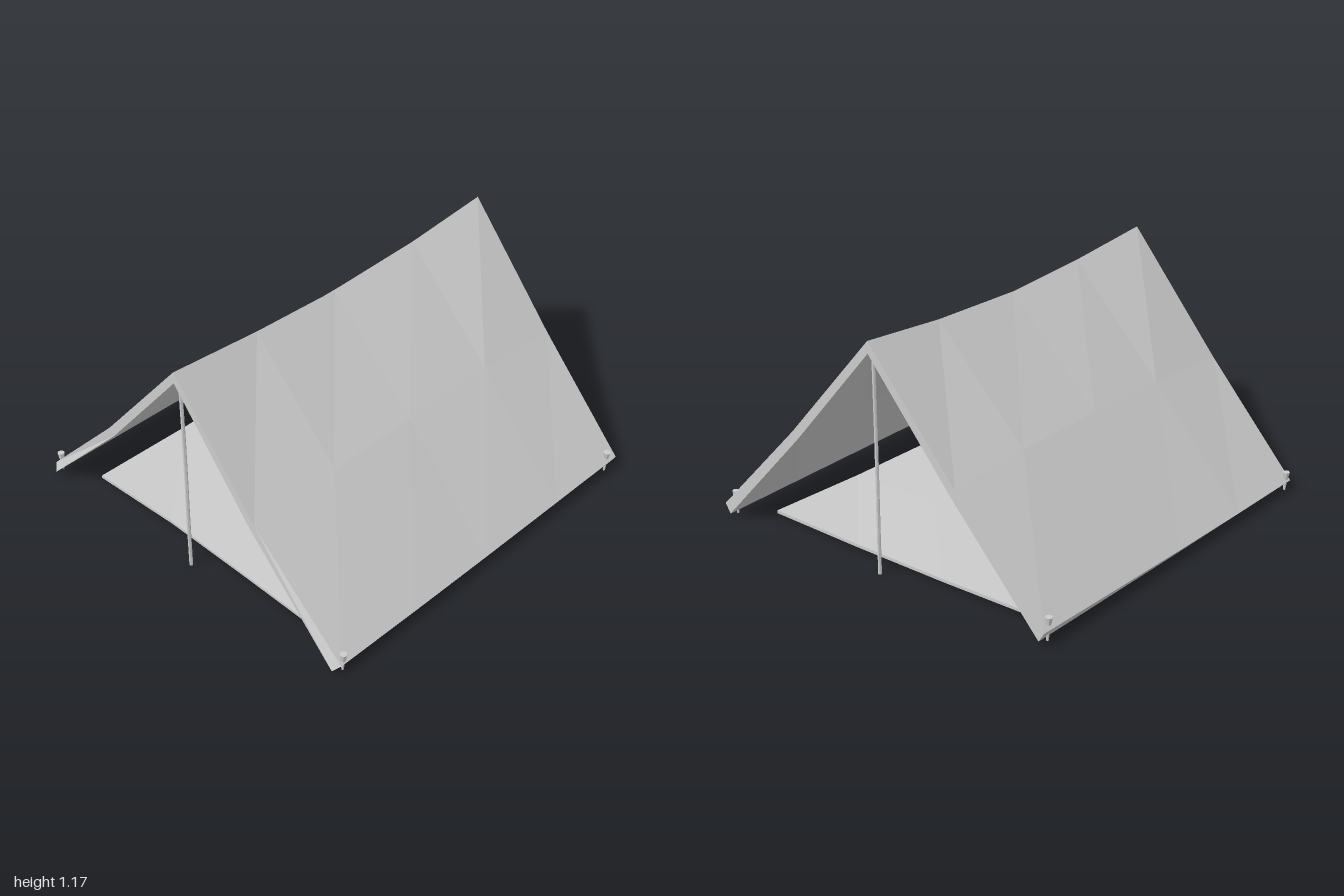
import * as THREE from 'three';

const material = new THREE.MeshStandardMaterial({ color: 0xcccccc, flatShading: true, side: THREE.DoubleSide });

function addMesh(parent, name, geometry) {
  const mesh = new THREE.Mesh(geometry, material);
  mesh.name = name;
  parent.add(mesh);
  return mesh;
}

// Closed thick sheet over an nu x nv grid; upper and lower return [x, y, z]
function slab(nu, nv, upper, lower) {
  const pos = [];
  const quad = (a, b, c, d) => pos.push(...a, ...b, ...c, ...a, ...c, ...d);
  for (let u = 0; u < nu; u++) {
    for (let v = 0; v < nv; v++) {
      quad(upper(u, v), upper(u, v + 1), upper(u + 1, v + 1), upper(u + 1, v));
      quad(lower(u, v), lower(u + 1, v), lower(u + 1, v + 1), lower(u, v + 1));
    }
  }
  for (let v = 0; v < nv; v++) {
    quad(upper(0, v), lower(0, v), lower(0, v + 1), upper(0, v + 1));
    quad(upper(nu, v), upper(nu, v + 1), lower(nu, v + 1), lower(nu, v));
  }
  for (let u = 0; u < nu; u++) {
    quad(upper(u, nv), lower(u, nv), lower(u + 1, nv), upper(u + 1, nv));
    quad(upper(u, 0), upper(u + 1, 0), lower(u + 1, 0), lower(u, 0));
  }
  const geometry = new THREE.BufferGeometry();
  geometry.setAttribute('position', new THREE.Float32BufferAttribute(pos, 3));
  geometry.computeVertexNormals();
  return geometry;
}

// Canopy: sagging ridge, sides slightly bulged between the ends
function canopyGeometry() {
  const z = [-1, -0.53, 0, 0.5, 1];
  const ridge = [1.17, 1.128, 1.108, 1.13, 1.17];
  const middle = [0.6, 0.625, 0.62, 0.61, 0.583];
  const hemX = [0.98, 0.985, 0.99, 0.993, 0.995];
  const hemY = [0.077, 0.07, 0.063, 0.058, 0.057];
  const upper = (u, v) => {
    const s = Math.sign(u - 2);
    if (s === 0) return [0, ridge[v], z[v]];
    if (u === 1 || u === 3) return [s * 0.49, middle[v], z[v]];
    return [s * hemX[v], hemY[v], v === 4 ? 0.97 : z[v]];
  };
  const lower = (u, v) => {
    const s = Math.sign(u - 2);
    const [x, y] = upper(u, v);
    if (s === 0) return [0, y - 0.06, z[v]];
    if (u === 1 || u === 3) return [x - s * 0.03, y - 0.033, z[v]];
    return [x - s * 0.03, 0.028, z[v]];
  };
  return slab(4, 4, upper, lower);
}

// Ground sheet: thin, gently rumpled
function groundGeometry() {
  const x = [-0.785, -0.28, 0.25, 0.78];
  const z = [-0.85, -0.3, 0.3, 0.855];
  const upper = (u, v) => [
    x[u] - (u === 3 && v % 3 ? 0.015 : 0),
    0.033 + 0.008 * Math.cos(u * 2.1 + v * 1.7) - 0.004 * v + (u % 3 ? 0.004 : 0),
    z[v] - (v === 3 && u % 3 ? 0.015 : 0),
  ];
  const lower = (u, v) => {
    const [px, py, pz] = upper(u, v);
    return [px, Math.max(py - 0.016, 0.003), pz];
  };
  return slab(3, 3, upper, lower);
}

export function createModel() {
  const model = new THREE.Group();
  model.name = 'tent';
  addMesh(model, 'canopy', canopyGeometry());
  addMesh(model, 'groundSheet', groundGeometry());

  // Slightly crooked wooden poles under each end of the ridge
  for (const [name, z, bend] of [['frontPole', 0.965, 0.004], ['backPole', -0.965, -0.004]]) {
    const path = new THREE.CatmullRomCurve3([
      new THREE.Vector3(0, 0.012, z),
      new THREE.Vector3(bend, 0.3, z + bend),
      new THREE.Vector3(-bend / 2, 0.7, z - bend),
      new THREE.Vector3(0, 1.12, z),
    ]);
    addMesh(model, name, new THREE.TubeGeometry(path, 6, 0.009, 6));
  }

  // Corner pegs driven through the hem
  for (const s of [-1, 1]) {
    for (const [name, x, y, z] of [['frontPeg', 0.978, 0.068, 0.945], ['backPeg', 0.955, 0.088, -0.945]]) {
      const peg = new THREE.Group();
      peg.name = (s > 0 ? 'left' : 'right') + name[0].toUpperCase() + name.slice(1);
      addMesh(peg, 'pegShaft', new THREE.CylinderGeometry(0.01, 0.006, y, 6)).position.y = y / 2 + 0.008;
      addMesh(peg, 'pegHead', new THREE.CylinderGeometry(0.018, 0.013, 0.036, 8)).position.y = y + 0.02;
      peg.position.set(s * x, 0.003, z);
      peg.rotation.z = -s * 0.06;
      model.add(peg);
    }
  }
  return model;
}
